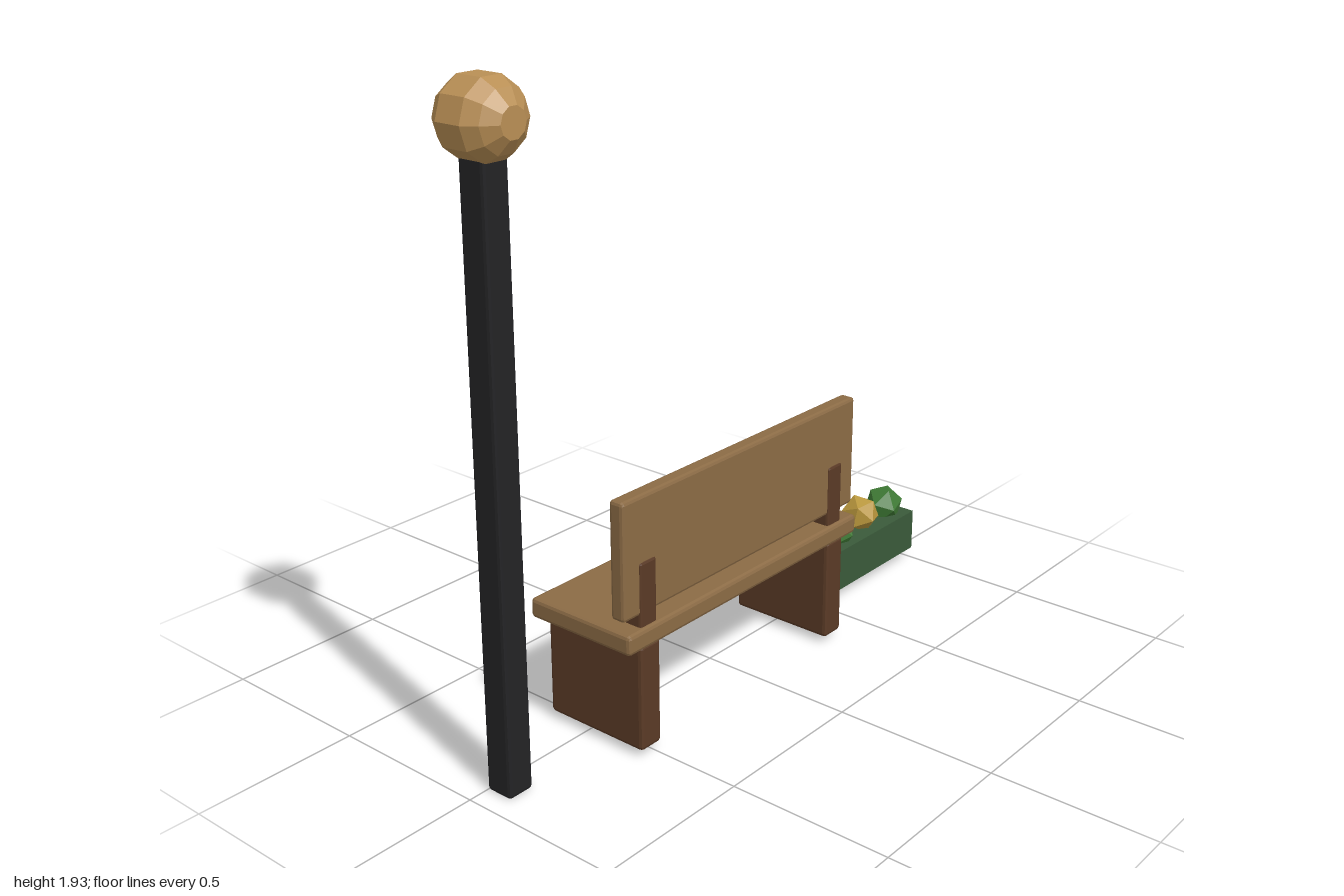
import * as THREE from 'three';
import { RoundedBoxGeometry } from 'three/addons/geometries/RoundedBoxGeometry.js';

const paint = (color) => new THREE.MeshStandardMaterial({ color, flatShading: true });

export function createModel() {
  const model = new THREE.Group();
  const wood = paint(0x8b6b45), darkWood = paint(0x5a3a26), iron = paint(0x232325);
  const glow = paint(0xb98f55), planterGreen = paint(0x3a5a3a);
  const gold = paint(0xb8963c), leaf = paint(0x3f7a35);

  const add = (parent, name, geometry, material) => {
    const mesh = new THREE.Mesh(geometry, material);
    mesh.name = name;
    parent.add(mesh);
    return mesh;
  };
  // Box from its min and max on each axis, with an optional chamfer
  const box = (parent, name, material, [x0, x1], [y0, y1], [z0, z1], bevel = 0) => {
    const size = [x1 - x0, y1 - y0, z1 - z0];
    const geometry = bevel ? new RoundedBoxGeometry(...size, 1, bevel) : new THREE.BoxGeometry(...size);
    const mesh = add(parent, name, geometry, material);
    mesh.position.set((x0 + x1) / 2, (y0 + y1) / 2, (z0 + z1) / 2);
    return mesh;
  };
  const group = (name) => {
    const g = new THREE.Group();
    g.name = name;
    model.add(g);
    return g;
  };

  // Lamp post with a faceted globe
  const lamp = group('streetLamp');
  box(lamp, 'lampPole', iron, [-0.935, -0.85], [0, 1.76], [0, 0.087], 0.01);
  const profile = [[0, -0.11], [0.042, -0.11], [0.083, -0.08], [0.108, -0.041],
    [0.108, 0.041], [0.083, 0.08], [0.042, 0.11], [0, 0.11]].map(([r, h]) => new THREE.Vector2(r, h));
  const globe = add(lamp, 'lampGlobe', new THREE.LatheGeometry(profile, 10, Math.PI / 2), glow);
  globe.rotation.x = Math.PI / 2;
  globe.position.set(-0.892, 1.824, 0.043);

  // Bench
  const bench = group('bench');
  box(bench, 'seat', wood, [-0.612, 0.438], [0.34, 0.4], [-0.145, 0.228], 0.011);
  box(bench, 'backrest', wood, [-0.612, 0.438], [0.435, 0.785], [0.162, 0.21], 0.01);
  for (const [side, x] of [['right', -0.516], ['left', 0.341]]) {
    box(bench, side + 'Leg', darkWood, [x - 0.041, x + 0.041], [0.02, 0.345], [-0.132, 0.219], 0.011);
    box(bench, side + 'BackPost', darkWood, [x - 0.034, x + 0.034], [0.36, 0.592], [0.154, 0.214], 0.008);
  }
  box(bench, 'smallPlate', wood, [-0.14, -0.036], [0.398, 0.419], [-0.236, -0.135]);

  // Planter with alternating flowers and shrubs
  const planter = group('planter');
  box(planter, 'planterBox', planterGreen, [0.44, 1], [0.037, 0.175], [-0.071, 0.079]);
  [[0.513, 0.222], [0.652, 0.202], [0.79, 0.217], [0.93, 0.205]].forEach(([x, y], i) => {
    const plant = add(planter, i % 2 ? 'shrub' : 'flower', new THREE.IcosahedronGeometry(0.066, 0), i % 2 ? leaf : gold);
    plant.position.set(x, y, 0.003);
    plant.rotation.set(0.4 + i * 0.9, i * 1.7, 0.25 + i * 0.6);
  });

  return model;
}
